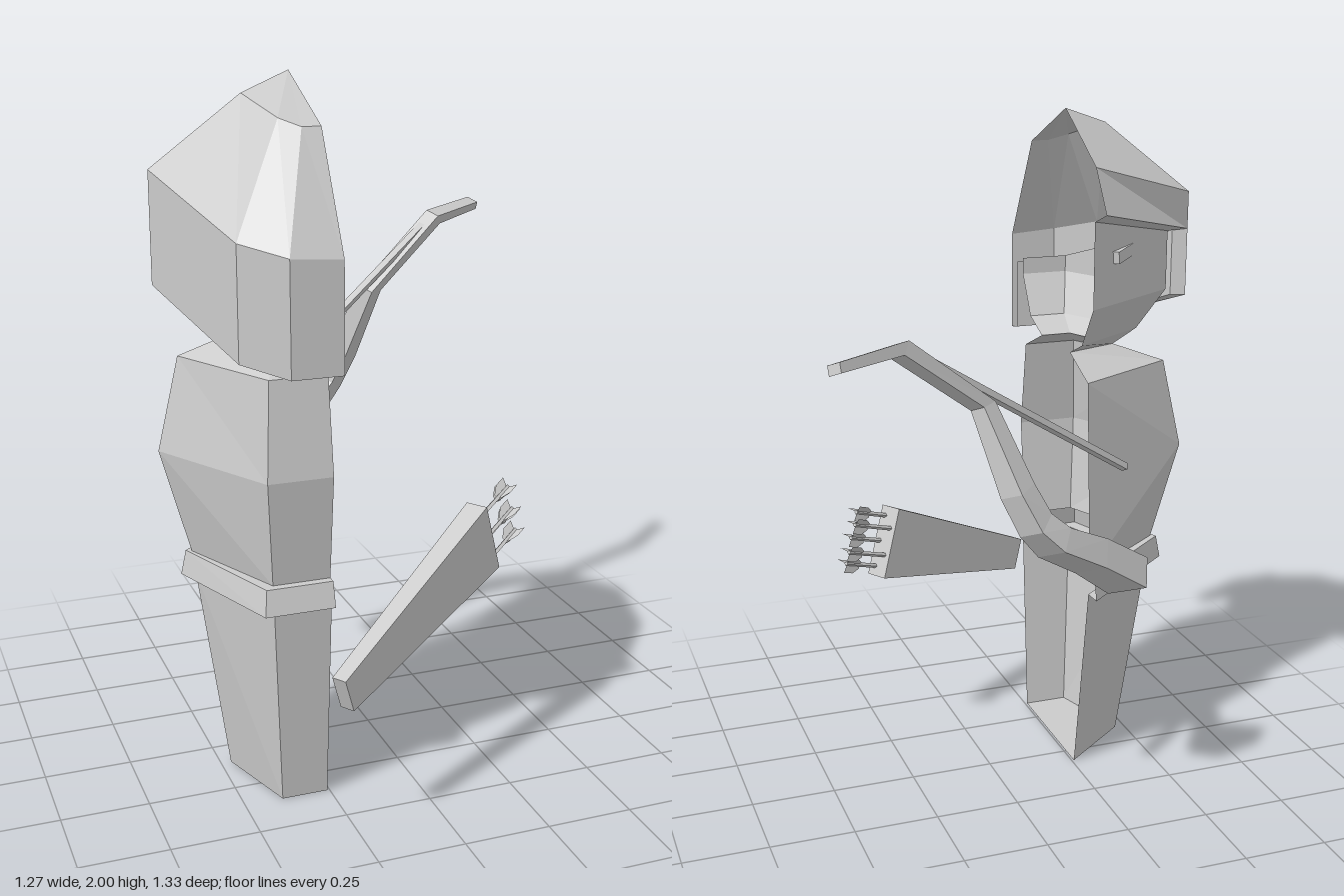
import * as THREE from 'three';

const mat = new THREE.MeshStandardMaterial({ color: 0xcccccc, flatShading: true, side: THREE.DoubleSide });
const CUT = -0.257; // plane where the half figure is open

// Joins successive rows of points with quads
function loft(rows, { closed = false, capStart = false, capEnd = false } = {}) {
  const pos = [];
  const tri = (...pts) => pts.forEach((p) => pos.push(...p));
  for (let r = 0; r < rows.length - 1; r++) {
    const a = rows[r], b = rows[r + 1];
    const n = closed ? a.length : a.length - 1;
    for (let i = 0; i < n; i++) {
      const j = (i + 1) % a.length;
      tri(a[i], b[i], b[j]);
      tri(a[i], b[j], a[j]);
    }
  }
  const fan = (row, flip) => {
    for (let i = 1; i < row.length - 1; i++) {
      if (flip) tri(row[0], row[i + 1], row[i]);
      else tri(row[0], row[i], row[i + 1]);
    }
  };
  if (capStart) fan(rows[0], false);
  if (capEnd) fan(rows[rows.length - 1], true);
  const g = new THREE.BufferGeometry();
  g.setAttribute('position', new THREE.Float32BufferAttribute(pos, 3));
  g.computeVertexNormals();
  return g;
}

function add(group, name, geometry) {
  const m = new THREE.Mesh(geometry, mat);
  m.name = name;
  group.add(m);
  return m;
}

// Half ring: front centre, side, back corner, back centre
const half = (y, front, side, sideZ, corner, back) =>
  [[CUT, y, front], [side, y, sideZ], [corner, y, back], [CUT, y, back]];

function makeBody(g) {
  const hip = half(0.60, -0.155, -0.55, 0.07, -0.42, 0.405);
  const waist = half(0.67, -0.16, -0.56, 0.07, -0.42, 0.395);
  const chest = half(0.97, -0.14, -0.64, 0.05, -0.44, 0.43);
  const shoulder = half(1.24, -0.12, -0.58, 0.06, -0.42, 0.39);
  const neck = half(1.30, 0.02, -0.42, 0.08, -0.35, 0.25);

  add(g, 'legs', loft([hip, half(0, -0.065, -0.47, 0.10, -0.39, 0.355)], { capEnd: true }));
  add(g, 'belt', loft([
    waist,
    half(0.67, -0.20, -0.575, 0.06, -0.445, 0.42),
    half(0.60, -0.215, -0.59, 0.06, -0.455, 0.44),
    hip,
  ]));
  // The front of the torso has no chest point, so three triangles meet at the side
  const torso = new THREE.Group();
  torso.name = 'torso';
  add(torso, 'shoulders', loft([neck, shoulder]));
  add(torso, 'torsoSide', loft([shoulder.slice(1), chest.slice(1), waist.slice(1)]));
  add(torso, 'torsoFront', loft([
    [shoulder[0], shoulder[0], waist[0], waist[0]],
    [shoulder[1], chest[1], chest[1], waist[1]],
  ]));
  g.add(torso);

  // Head, open under the hood
  add(g, 'head', loft([
    [[CUT, 1.71, -0.15], [-0.58, 1.635, 0.06], [-0.40, 1.51, 0.42], [CUT, 1.51, 0.42]],
    half(1.46, -0.15, -0.58, 0.06, -0.40, 0.42),
    half(1.34, -0.07, -0.50, 0.09, -0.37, 0.35),
    neck,
  ]));
  const eye = add(g, 'eye', new THREE.BoxGeometry(0.17, 0.035, 0.05));
  eye.position.set(-0.395, 1.605, -0.035);
  eye.rotation.set(0, Math.atan2(0.13, 0.14), -0.1);
}

function makeHood(g) {
  const hood = new THREE.Group();
  hood.name = 'hood';
  const crown = [[CUT, 2, 0.08], [-0.41, 1.95, 0.15], [-0.36, 1.90, 0.31], [-0.31, 1.88, 0.35], [CUT, 1.88, 0.35]];
  const wide = [[CUT, 1.86, -0.15], [-0.64, 1.75, 0.05], [-0.51, 1.61, 0.43], [-0.40, 1.58, 0.52], [CUT, 1.57, 0.52]];
  const hem = [[-0.64, 1.44, 0.05], [-0.51, 1.30, 0.43], [-0.40, 1.27, 0.52], [CUT, 1.27, 0.52]];
  const hemIn = [[-0.60, 1.44, 0.07], [-0.48, 1.31, 0.40], [-0.385, 1.28, 0.47], [CUT, 1.28, 0.47]];
  const topIn = [[-0.60, 1.635, 0.07], [-0.48, 1.52, 0.40], [-0.385, 1.49, 0.47], [CUT, 1.49, 0.47]];
  const brim = [[CUT, 1.74, -0.23], [-0.64, 1.64, 0.05]];
  add(hood, 'hoodCrown', loft([crown, wide], { capStart: true }));
  add(hood, 'hoodDrape', loft([wide.slice(1), hem, hemIn, topIn]));
  add(hood, 'hoodBrim', loft([wide.slice(0, 2), brim, [[CUT, 1.71, -0.15], [-0.58, 1.635, 0.06]]]));
  add(hood, 'hoodFrontEdge', loft([[brim[1], topIn[0]], [hem[0], hemIn[0]]]));
  g.add(hood);
}

function makeBow(g) {
  // Local frame: x along the string, y away from the string, z across the limb
  const bow = new THREE.Group();
  bow.name = 'bow';
  const u = new THREE.Vector3(0.77, 0.53, -0.36).normalize();
  const n = new THREE.Vector3(-0.58, 0.35, -0.74);
  n.addScaledVector(u, -n.dot(u)).normalize();
  const v = new THREE.Vector3().crossVectors(n, u);
  bow.quaternion.setFromRotationMatrix(new THREE.Matrix4().makeBasis(u, v, n));
  bow.position.set(-0.345, 0.785, -0.37);
  // along, away, thickness along, thickness away, width, middle
  const limb = [
    [0, 0, 0, 0.09, 0.13, -0.065],
    [0.19, 0, 0, 0.085, 0.105, -0.06],
    [0.35, 0.016, 0.02, 0.075, 0.09, -0.065],
    [0.42, -0.005, 0.035, 0.065, 0.075, -0.072],
    [0.49, -0.07, 0.05, 0.05, 0.07, -0.08],
    [0.63, -0.262, 0.045, 0.035, 0.045, -0.105],
    [0.98, -0.295, 0.01, 0.045, 0.045, -0.112],
    [1.215, -0.14, -0.01, 0.025, 0.04, -0.108],
  ];
  add(bow, 'bowLimb', loft(limb.map(([a, b, da, db, w, m]) => [
    [a, b, m - w / 2], [a, b, m + w / 2], [a + da, b + db, m + w / 2], [a + da, b + db, m - w / 2],
  ]), { closed: true, capStart: true, capEnd: true }));
  const string = add(bow, 'bowString', new THREE.BoxGeometry(0.97, 0.02, 0.02));
  string.position.set(0.455, -0.293, -0.107);
  string.rotation.z = 0.027;
  g.add(bow);
}

function makeQuiver(g) {
  // Local frame: y along the quiver, x down its wide side
  const quiver = new THREE.Group();
  quiver.name = 'quiver';
  const a = new THREE.Vector3(0.56, 0.24, -0.36);
  const len = a.length();
  a.normalize();
  const w = new THREE.Vector3(0, -1, 0);
  w.addScaledVector(a, -w.dot(a)).normalize();
  const d = new THREE.Vector3().crossVectors(w, a);
  quiver.quaternion.setFromRotationMatrix(new THREE.Matrix4().makeBasis(w, a, d));
  quiver.position.set(-0.305, 0.44, 0.63);

  const ring = (y, x, z) => [[-x, y, -z], [-x, y, z], [x, y, z], [x, y, -z]];
  add(quiver, 'quiverCase', loft([ring(len, 0.11, 0.034), ring(0, 0.052, 0.022)],
    { closed: true, capStart: true, capEnd: true }));

  // Arrows with crossed fletching
  const fin = new THREE.Shape([[0, 0], [0.012, 0], [0.028, 0.03], [0.028, 0.07], [0, 0.055]]
    .map(([x, y]) => new THREE.Vector2(x, y)));
  [[-0.08, 0.015, 0.14], [-0.045, -0.015, 0.17], [0, 0.015, 0.14], [0.04, -0.015, 0.17], [0.08, 0.012, 0.14]]
    .forEach(([x, z, h]) => {
      const arrow = new THREE.Group();
      arrow.name = 'arrow';
      arrow.position.set(x, len, z);
      const shaft = add(arrow, 'arrowShaft', new THREE.CylinderGeometry(0.007, 0.007, h + 0.05, 4));
      shaft.position.y = h / 2 - 0.025;
      for (let k = 0; k < 3; k++) {
        const f = add(arrow, 'fletching', new THREE.ShapeGeometry(fin));
        f.position.y = h - 0.06;
        f.rotation.y = (k * Math.PI * 2) / 3 + 0.3;
      }
      quiver.add(arrow);
    });
  g.add(quiver);
}

export function createModel() {
  const g = new THREE.Group();
  g.name = 'archer';
  makeBody(g);
  makeHood(g);
  makeBow(g);
  makeQuiver(g);
  return g;
}
